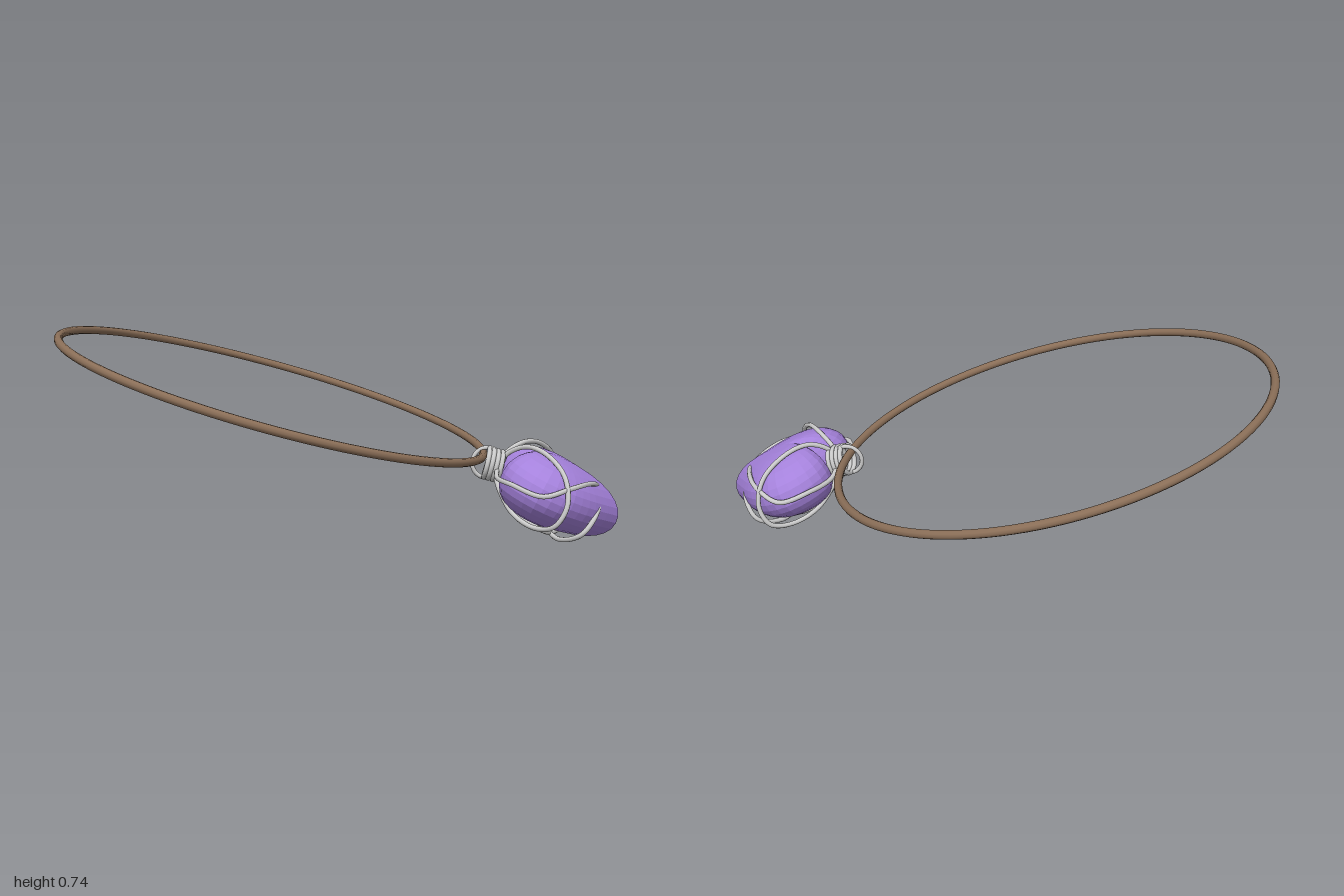
import * as THREE from 'three';

const V = (x, y, z) => new THREE.Vector3(x, y, z);
const TILT = 0.455; // pendant lean
const Z0 = 0.015; // pendant sideways offset

// Inflated heart: a closed outline swept from pole to pole
function heartGeometry() {
  const half = new THREE.CatmullRomCurve3([
    [0.284, 0], [0.215, 0.085], [0.14, 0.168], [0.05, 0.235], [-0.04, 0.255],
    [-0.12, 0.218], [-0.17, 0.14], [-0.165, 0.065], [-0.11, 0],
  ].map(([u, v]) => V(u, 0, v)));
  const n = 18, rows = 16, thick = 0.125;
  const side = half.getSpacedPoints(n);
  const outline = [...side, ...side.slice(1, n).reverse().map((p) => V(p.x, 0, -p.z))];
  const cols = outline.length, pos = [], idx = [];
  for (let i = 0; i <= rows; i++) {
    const phi = -Math.PI / 2 + (Math.PI * i) / rows;
    const r = Math.pow(Math.max(Math.cos(phi), 0), 0.85);
    const y = thick * Math.sign(phi) * Math.pow(Math.abs(Math.sin(phi)), 0.95);
    for (const p of outline) pos.push(p.x * r, y, p.z * r);
  }
  for (let i = 0; i < rows; i++) {
    for (let j = 0; j < cols; j++) {
      const a = i * cols + j, b = i * cols + ((j + 1) % cols);
      if (i < rows - 1) idx.push(a, a + cols, b + cols);
      if (i > 0) idx.push(a, b + cols, b);
    }
  }
  const g = new THREE.BufferGeometry();
  g.setAttribute('position', new THREE.Float32BufferAttribute(pos, 3));
  g.setIndex(idx);
  g.computeVertexNormals();
  return g;
}

export function createModel() {
  const model = new THREE.Group();
  const cordMat = new THREE.MeshStandardMaterial({ color: 0x8b6f58 });
  const stoneMat = new THREE.MeshStandardMaterial({ color: 0xa582dc, flatShading: true });
  const wireMat = new THREE.MeshStandardMaterial({ color: 0xcccccc });

  const add = (name, geometry, material) => {
    const mesh = new THREE.Mesh(geometry, material);
    mesh.name = name;
    model.add(mesh);
    return mesh;
  };
  const wire = (name, points, segments = 90, radius = 0.009) =>
    add(name, new THREE.TubeGeometry(new THREE.CatmullRomCurve3(points), segments, radius, 8), wireMat);

  // Tilted neck cord
  const cord = add('cord', new THREE.TorusGeometry(0.783, 0.015, 10, 120).rotateX(Math.PI / 2), cordMat);
  cord.position.set(-0.234, 0.52, 0);
  cord.rotation.z = -0.276;

  // Heart stone
  const stone = add('heartStone', heartGeometry(), stoneMat);
  stone.position.set(0.74, 0.185, Z0);
  stone.rotation.z = -TILT;

  // Bail loop around the cord
  const bail = add('bailLoop', new THREE.TorusGeometry(0.055, 0.008, 8, 32), wireMat);
  bail.position.set(0.535, 0.272, 0.005);
  bail.rotation.y = 0.12;

  // Wire coil at the top of the stone
  const turns = 4, coil = [];
  for (let i = 0; i <= turns * 12; i++) {
    const a = (i / 12) * Math.PI * 2;
    coil.push(V(-0.033 + (0.066 * i) / (turns * 12), 0.053 * Math.cos(a), 0.053 * Math.sin(a)));
  }
  const coilMesh = wire('wireCoil', coil, 160);
  coilMesh.position.set(0.56, 0.265, 0.01);
  coilMesh.rotation.z = -TILT * 0.6;

  // Mirrored wires wrapping the stone
  for (const s of [1, -1]) {
    const path = (list) => list.map(([x, y, z]) => V(x, y, Z0 + z * s));
    const label = s > 0 ? 'left' : 'right';
    wire(label + 'LobeWire', path([
      [0.57, 0.27, 0.01], [0.61, 0.315, 0.02], [0.67, 0.342, 0.06], [0.735, 0.325, 0.135],
      [0.79, 0.26, 0.215], [0.795, 0.17, 0.258], [0.755, 0.1, 0.255],
      [0.69, 0.08, 0.19], [0.62, 0.115, 0.12], [0.575, 0.19, 0.06], [0.56, 0.25, 0.01],
    ]));
    wire(label + 'CrossWire', path([
      [0.57, 0.26, 0.02], [0.565, 0.24, 0.11], [0.61, 0.235, 0.215], [0.71, 0.205, 0.268],
      [0.81, 0.225, 0.225], [0.88, 0.225, 0.13], [0.925, 0.193, 0], [0.915, 0.125, -0.11],
      [0.86, 0.05, -0.145], [0.79, 0.014, -0.07], [0.74, 0.035, 0.04],
      [0.66, 0.085, 0.07], [0.59, 0.16, 0.05], [0.565, 0.25, 0.01],
    ]), 120);
  }
  return model;
}
